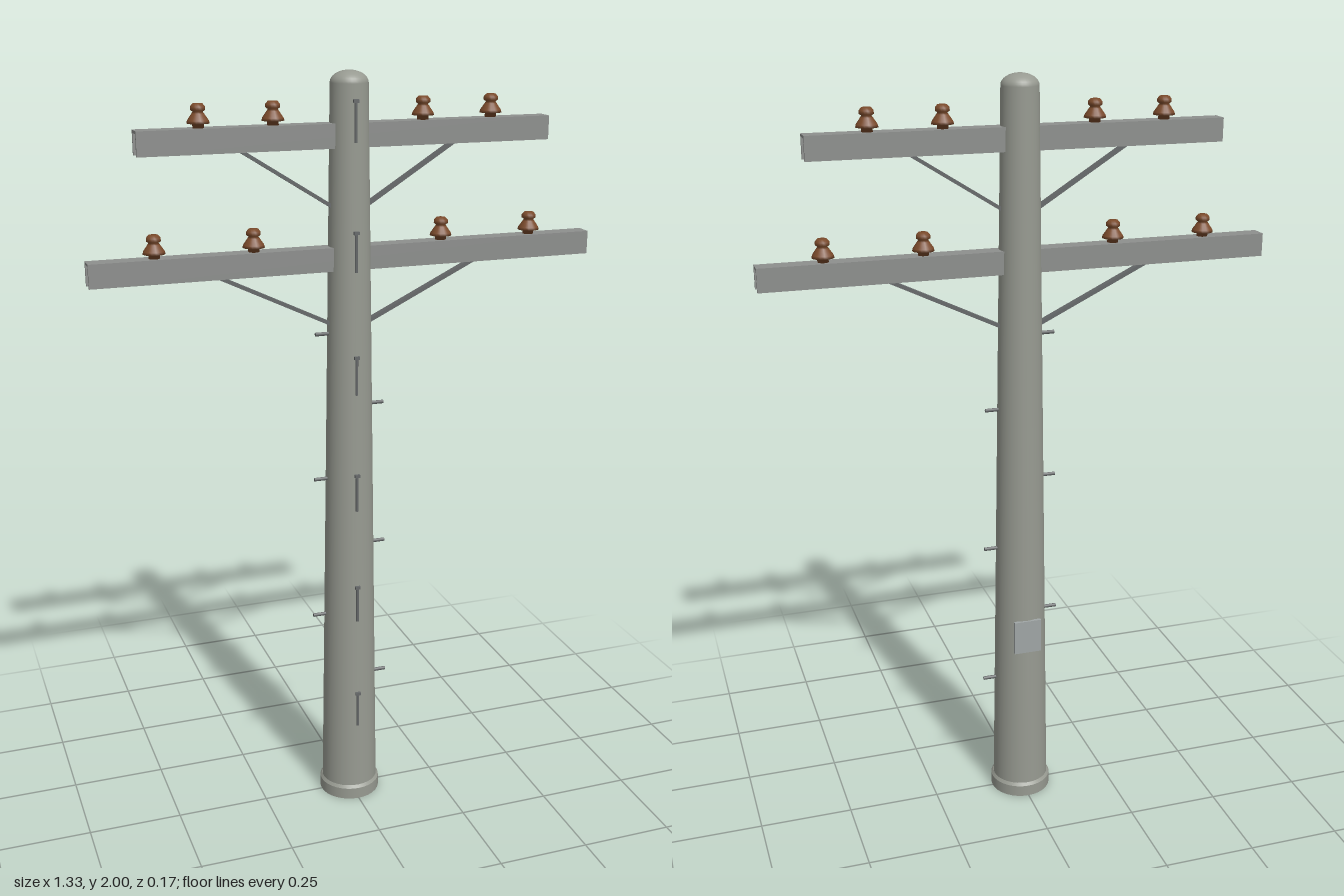
import * as THREE from 'three';

const mat = (name, color) => Object.assign(new THREE.MeshStandardMaterial({ color }), { name });

export function createModel() {
  const concrete = mat('concrete', 0x979a91);
  const steel = mat('galvanised steel', 0x8d8f8d);
  const darkSteel = mat('dark steel', 0x66696a);
  const glaze = mat('brown glaze', 0x7a4a2b);
  const plateGrey = mat('plate grey', 0xa0a6a6);

  const model = new THREE.Group();
  model.name = 'utilityPole';
  const add = (name, geo, material, x = 0, y = 0, z = 0) => {
    const mesh = new THREE.Mesh(geo, material);
    mesh.name = name;
    mesh.position.set(x, y, z);
    model.add(mesh);
    return mesh;
  };
  const lathe = (pts, sides) =>
    new THREE.LatheGeometry(pts.map(([r, y]) => new THREE.Vector2(r, y)), sides);

  // Tapered shaft radius at a given height
  const radiusAt = (y) => 0.077 - 0.0148 * y;

  // Shaft with its rounded top
  add('shaft', new THREE.CylinderGeometry(radiusAt(1.97), radiusAt(0), 1.97, 32, 1, true), concrete, 0, 0.985);
  const dome = new THREE.SphereGeometry(radiusAt(1.97), 32, 8, 0, Math.PI * 2, 0, Math.PI / 2);
  dome.scale(1, 0.03 / radiusAt(1.97), 1);
  add('domeTop', dome, concrete, 0, 1.97);

  // Base collar
  add('baseCollar', new THREE.CylinderGeometry(0.083, 0.083, 0.032, 32), concrete, 0, 0.016);
  add('collarBevel', new THREE.CylinderGeometry(0.077, 0.083, 0.008, 32, 1, true), concrete, 0, 0.036);

  // Channel section, open downward
  const channel = new THREE.Shape();
  [[-0.023, 0], [-0.016, 0], [-0.016, 0.053], [0.016, 0.053], [0.016, 0], [0.023, 0], [0.023, 0.06], [-0.023, 0.06]]
    .forEach(([x, y], i) => (i ? channel.lineTo(x, y) : channel.moveTo(x, y)));

  // Pin insulator: foot, wide skirt, neck and head
  const insulator = lathe([
    [0, 0], [0.014, 0], [0.014, 0.01], [0.028, 0.011], [0.026, 0.018], [0.019, 0.028],
    [0.015, 0.034], [0.012, 0.038], [0.018, 0.042], [0.018, 0.05], [0.012, 0.057], [0, 0.057],
  ], 16);

  // Crossarms with braces and insulators
  const arms = [
    { name: 'upper', y: 1.815, half: 0.535, pins: [0.195, 0.38], braceX: 0.28, braceY: 1.67 },
    { name: 'lower', y: 1.51, half: 0.665, pins: [0.25, 0.5], braceX: 0.345, braceY: 1.368 },
  ];
  for (const a of arms) {
    const beam = new THREE.ExtrudeGeometry(channel, { depth: a.half * 2, bevelEnabled: false });
    beam.translate(0, 0, -a.half).rotateY(Math.PI / 2);
    add(a.name + 'Crossarm', beam, steel, 0, a.y);

    for (const s of [-1, 1]) {
      const dx = a.braceX - 0.045, dy = a.y + 0.003 - a.braceY;
      const brace = add(a.name + 'Brace', new THREE.BoxGeometry(Math.hypot(dx, dy), 0.009, 0.017), darkSteel,
        s * (0.045 + dx / 2), a.braceY + dy / 2);
      brace.rotation.z = s * Math.atan2(dy, dx);
      for (const x of a.pins) add(a.name + 'Insulator', insulator, glaze, s * x, a.y + 0.06);
    }
  }

  // Climbing pegs on alternating sides
  for (let i = 0; i < 6; i++) {
    const y = 0.355 + i * 0.198, s = i % 2 ? -1 : 1;
    const peg = new THREE.CylinderGeometry(0.005, 0.005, 0.05, 8).rotateZ(Math.PI / 2);
    add('climbingPeg', peg, darkSteel, s * (radiusAt(y) + 0.01), y);
  }

  // Earth wire lengths down the front, each sinking into the taper, with a clip on top
  for (let i = 0; i < 6; i++) {
    const y = 0.33 + i * 0.32, z = radiusAt(y);
    add('earthWire', new THREE.CylinderGeometry(0.004, 0.004, 0.1, 8), darkSteel, 0, y - 0.05, z + 0.001);
    add('wireClip', new THREE.BoxGeometry(0.014, 0.008, 0.012), darkSteel, 0, y, z + 0.001);
  }

  // Blank plate on the back
  add('backPlate', new THREE.BoxGeometry(0.075, 0.095, 0.009), plateGrey, 0, 0.505, -0.0695);

  return model;
}
